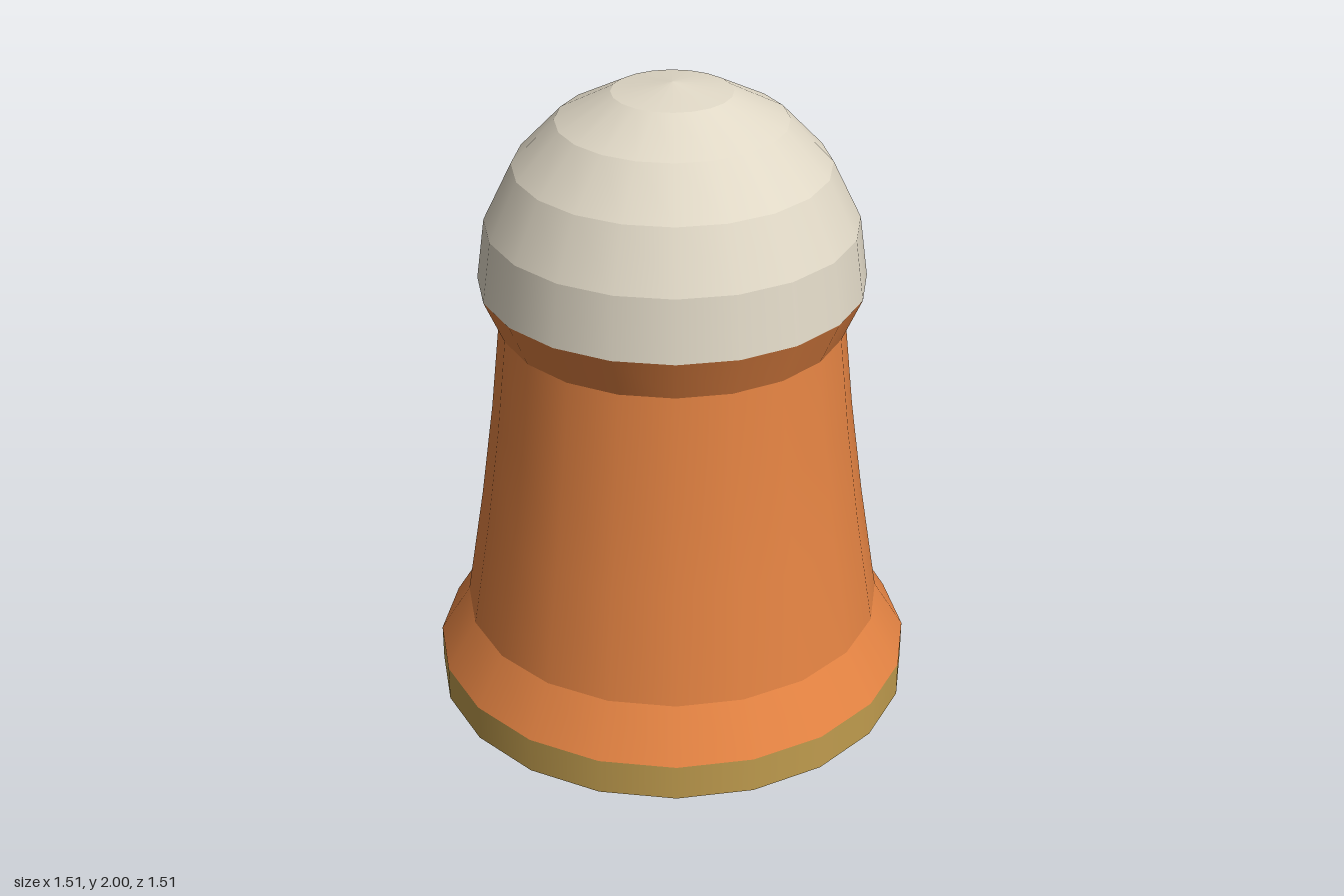
import * as THREE from 'three';
import { mergeGeometries } from 'three/addons/utils/BufferGeometryUtils.js';

const SIDES = 20;

const material = (name, color) => {
  const m = new THREE.MeshStandardMaterial({ color });
  m.name = name;
  return m;
};

// Each profile is one smooth surface of revolution; edges between profiles stay sharp
function turned(name, mat, profiles) {
  const parts = profiles.map((p) =>
    new THREE.LatheGeometry(p.map(([r, y]) => new THREE.Vector2(r, y)), SIDES));
  const mesh = new THREE.Mesh(mergeGeometries(parts), mat);
  mesh.name = name;
  return mesh;
}

// Splits a profile into single bands with sharp rings between them
const bands = (pts) => pts.slice(1).map((p, i) => [pts[i], p]);

export function createModel() {
  const gold = material('gold', 0xc09c4e);
  const orange = material('orange', 0xe28242);
  const cream = material('cream', 0xe0d8c6);

  const group = new THREE.Group();
  group.name = 'domedPeg';
  group.add(
    // Flat disc with a short rim
    turned('base', gold, bands([[0, 0], [0.755, 0], [0.755, 0.115]])),
    // Sloping foot
    turned('foot', orange, [[[0.755, 0.115], [0.66, 0.27]]]),
    // Gently curved tapering shaft
    turned('shaft', orange, [[[0.66, 0.27], [0.602, 0.63], [0.56, 0.94], [0.528, 1.245]]]),
    // Collar flaring out under the dome
    turned('collar', orange, [[[0.528, 1.245], [0.588, 1.382]]]),
    // Faceted rounded top
    turned('dome', cream, bands([
      [0.588, 1.382], [0.562, 1.572], [0.475, 1.75], [0.345, 1.886], [0.18, 1.972], [0, 2],
    ])),
  );
  return group;
}
